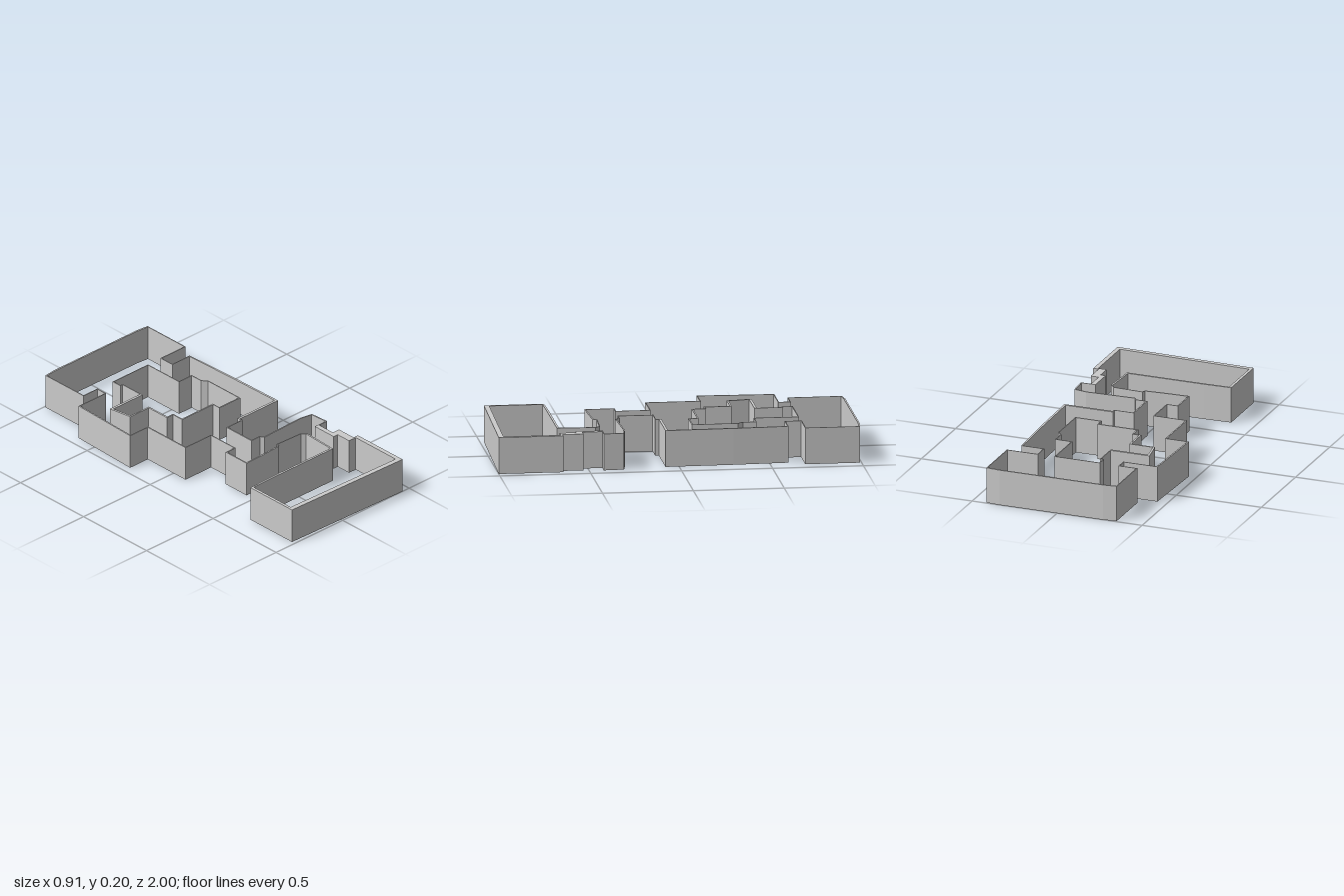
import * as THREE from 'three';

const HEIGHT = 0.203;

// Each entry is [x, z, thickness of the wall that starts here]; loops run x -> z.
const T = 0.005;
const backRight = [
  [-0.347, -0.992, 0.008], [-0.27, -1, 0.009], [0.34, -1, 0.009], [0.42, -0.992, T],
  [0.42, -0.69, T], [0.24, -0.69, T], [0.24, -0.605, T], [0.37, -0.605, 0.008],
  [0.384, -0.3, 0.012], [0.39, 0.075, 0.014], [0.105, 0.075, T], [0.105, 0.095, T],
  [-0.005, 0.095, 0.007], [-0.005, 0.283, T],
];
const frontWing = [
  [0.055, 0.283, T], [0.068, 0.303, 0.007], [0.35, 0.293, 0.007], [0.425, 0.307, 0.007],
  [0.433, 0.42, T], [0.372, 0.42, 0.027], [0.372, 0.53, 0.035], [0.418, 0.53, 0.043],
  [0.418, 0.645, 0.01], [0.45, 0.645, 0.025], [0.45, 1, 0.028], [-0.36, 0.978, 0.016],
  [-0.36, 0.648, 0.01], [-0.2, 0.643, 0.012], [0.245, 0.643, 0.01], [0.255, 0.44, T],
  [0.235, 0.42, T], [0.068, 0.413, T], [0.058, 0.434, 0.008],
];
const backLeft = [
  [-0.05, 0.441, 0.008], [-0.197, 0.446, 0.007], [-0.197, 0.28, T], [-0.132, 0.28, T], [-0.132, 0.095, T],
  [-0.324, 0.095, 0.007], [-0.324, -0.205, T], [-0.456, -0.205, 0.008],
  [-0.441, -0.63, T], [-0.243, -0.63, T], [-0.243, -0.69, T], [-0.347, -0.69, T],
];
const courtyard = [
  [-0.127, -0.692, T], [0.14, -0.692, T], [0.14, -0.446, T], [0.235, -0.446, T],
  [0.235, -0.37, T], [0.26, -0.34, T], [0.26, -0.087, 0.007], [0.103, -0.087, T],
  [0.103, -0.136, 0.008], [-0.131, -0.136, 0.007], [-0.131, -0.208, 0.007],
  [-0.177, -0.208, 0.01], [-0.177, -0.352, 0.009], [-0.316, -0.352, 0.012],
  [-0.338, -0.491, 0.014], [-0.11, -0.491, T], [-0.11, -0.63, T], [-0.127, -0.63, T],
];

// Moves every edge inward by its own thickness and intersects neighbouring edges.
function insetLoop(loop) {
  const n = loop.length;
  const edges = loop.map(([x, z, t], i) => {
    const [nx, nz] = loop[(i + 1) % n];
    const length = Math.hypot(nx - x, nz - z);
    const dx = (nx - x) / length, dz = (nz - z) / length;
    return { x: x - dz * t, z: z + dx * t, dx, dz };
  });
  return edges.map((b, i) => {
    const a = edges[(i + n - 1) % n];
    const cross = a.dx * b.dz - a.dz * b.dx;
    // Nearly straight joints need no intersection
    if (Math.abs(cross) < 0.05) return new THREE.Vector2(b.x, b.z);
    const s = ((b.x - a.x) * b.dz - (b.z - a.z) * b.dx) / cross;
    return new THREE.Vector2(a.x + a.dx * s, a.z + a.dz * s);
  });
}

// A closed ring of upright wall, open at top and bottom between its two skins.
function wallRing(name, loop, material) {
  const shape = new THREE.Shape(loop.map(([x, z]) => new THREE.Vector2(x, z)));
  shape.holes.push(new THREE.Path(insetLoop(loop)));
  const geometry = new THREE.ExtrudeGeometry(shape, { depth: HEIGHT, bevelEnabled: false });
  geometry.rotateX(Math.PI / 2);
  geometry.translate(0, HEIGHT, 0);
  const mesh = new THREE.Mesh(geometry, material);
  mesh.name = name;
  return mesh;
}

export function createModel() {
  const group = new THREE.Group();
  group.name = 'buildingWalls';
  const material = new THREE.MeshStandardMaterial({
    color: 0xcccccc, flatShading: true, side: THREE.DoubleSide,
  });
  group.add(
    wallRing('outerWall', [...backRight, ...frontWing, ...backLeft], material),
    wallRing('courtyardWall', courtyard, material),
  );
  return group;
}
